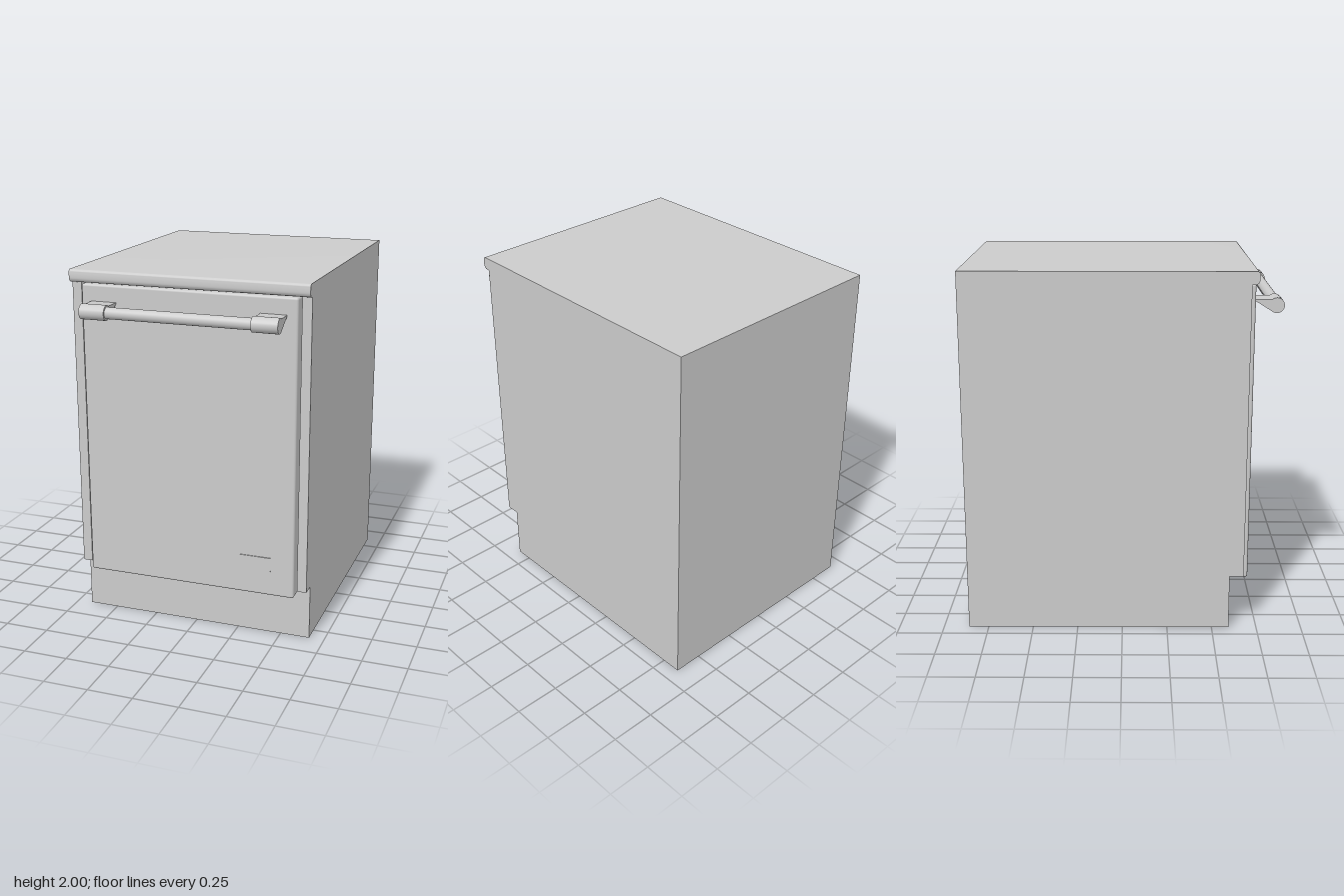
import * as THREE from 'three';
import { RoundedBoxGeometry } from 'three/addons/geometries/RoundedBoxGeometry.js';
import { toCreasedNormals } from 'three/addons/utils/BufferGeometryUtils.js';

const material = new THREE.MeshStandardMaterial({ color: 0xcccccc });

export function createModel() {
  const model = new THREE.Group();

  const add = (name, geometry, x = 0, y = 0, z = 0) => {
    const mesh = new THREE.Mesh(geometry, material);
    mesh.name = name;
    mesh.position.set(x, y, z);
    model.add(mesh);
    return mesh;
  };

  // Extrude a (z, y) side profile across the width, centred on x = 0
  const extrudeAcross = (shape, width) => {
    const geometry = new THREE.ExtrudeGeometry(shape, { depth: width, bevelEnabled: false, curveSegments: 10 });
    geometry.translate(0, 0, -width / 2).rotateY(-Math.PI / 2);
    return toCreasedNormals(geometry, 0.6);
  };

  // Cabinet with recessed front and a rounded lip along the top
  const profile = new THREE.Shape();
  profile.moveTo(-0.86, 0);
  profile.lineTo(0.595, 0);
  profile.lineTo(0.595, 1.93);
  profile.lineTo(0.685, 1.93);
  profile.quadraticCurveTo(0.712, 1.932, 0.712, 1.96);
  profile.lineTo(0.712, 1.98);
  profile.quadraticCurveTo(0.712, 2, 0.695, 2);
  profile.lineTo(-0.86, 2);
  profile.closePath();
  add('cabinet', extrudeAcross(profile, 1.33));

  // Door panel
  add('door', new RoundedBoxGeometry(1.2, 1.65, 0.108, 3, 0.012), 0, 1.1, 0.646);

  // Small plate low on the door
  add('plate', new THREE.BoxGeometry(0.18, 0.078, 0.01), 0.38, 0.457, 0.7);

  // Handle bar
  const bar = new THREE.CylinderGeometry(0.031, 0.031, 0.84, 32).rotateZ(Math.PI / 2);
  add('handleBar', bar, 0, 1.803, 0.818);

  // Handle bracket: round grip end blending into a flat neck
  const bracket = new THREE.Shape();
  const neck = Math.asin(0.032 / 0.041);
  bracket.moveTo(0.69, 1.771);
  bracket.absarc(0.818, 1.803, 0.041, neck - Math.PI, Math.PI - neck, false);
  bracket.lineTo(0.69, 1.835);
  bracket.closePath();

  for (const [side, s] of [['left', 1], ['right', -1]]) {
    // Frame strip beside the door, separated by a narrow gap
    add(side + 'FrameStrip', new THREE.BoxGeometry(0.053, 1.622, 0.08), s * 0.6385, 1.12, 0.632);
    add(side + 'HandleBracket', extrudeAcross(bracket, 0.142), s * 0.471);
  }

  return model;
}
